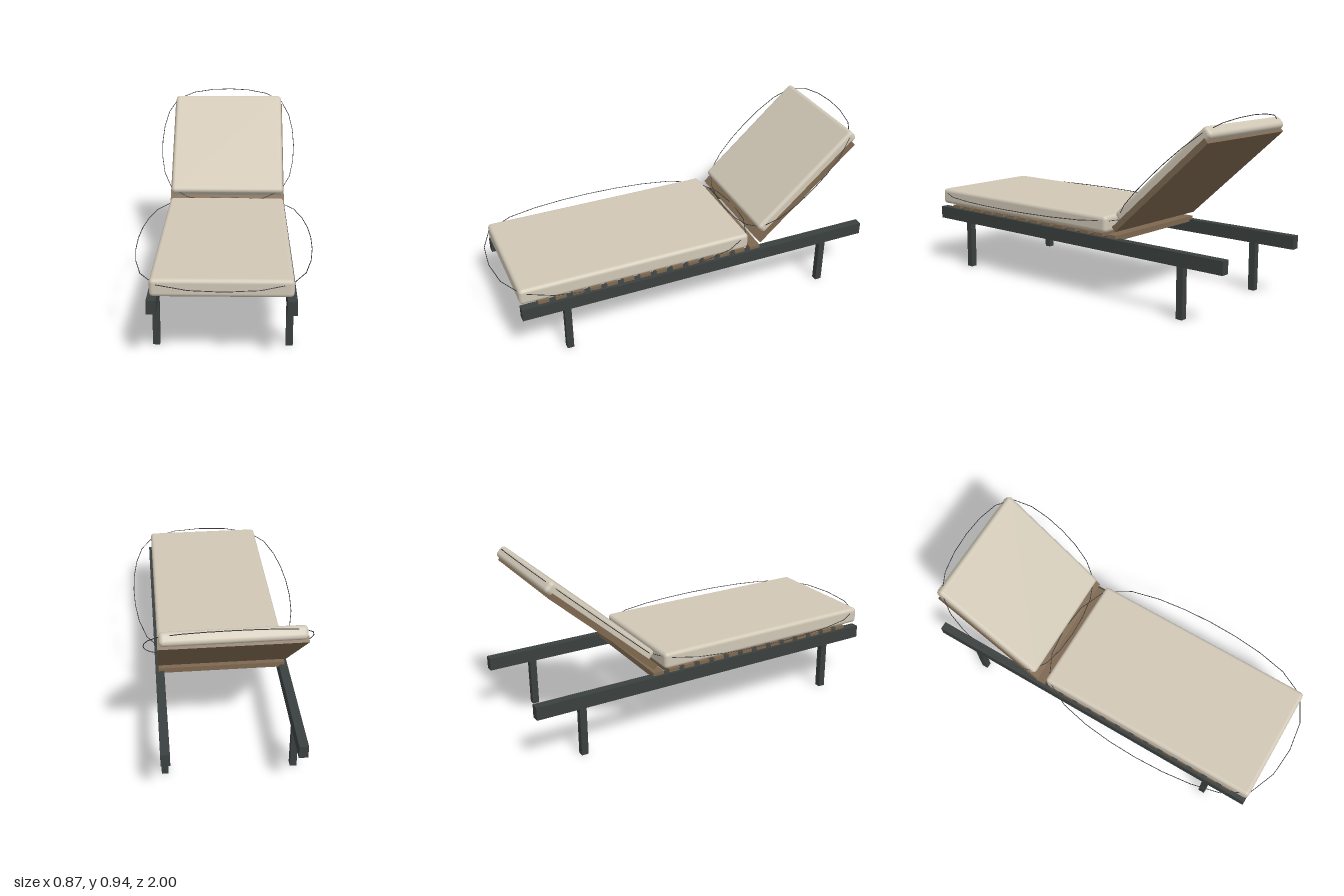
import * as THREE from 'three';
import { RoundedBoxGeometry } from 'three/addons/geometries/RoundedBoxGeometry.js';

const mat = (color) => new THREE.MeshStandardMaterial({ color });

export function createModel() {
  const model = new THREE.Group();
  const frame = mat(0x3a403f), wood = mat(0x7d6850), fabric = mat(0xd0c7b6), cord = mat(0x3c3a3c);

  const add = (parent, name, geometry, material, x, y, z) => {
    const mesh = new THREE.Mesh(geometry, material);
    mesh.name = name;
    mesh.position.set(x, y, z);
    parent.add(mesh);
    return mesh;
  };

  // Cord swinging through the four corners of a cushion
  const piping = (a, b) => {
    const corners = [[-a, -b], [a, -b], [a, b], [-a, b]].map(([x, z]) => new THREE.Vector3(x, 0, z));
    return new THREE.TubeGeometry(new THREE.CatmullRomCurve3(corners, true), 24, 0.002, 6, true);
  };

  // Side rails and legs
  for (const [side, s] of [['left', 1], ['right', -1]]) {
    add(model, side + 'Rail', new THREE.BoxGeometry(0.044, 0.066, 1.922), frame, s * 0.315, 0.285, -0.039);
    add(model, side + 'FrontLeg', new THREE.BoxGeometry(0.033, 0.254, 0.035), frame, s * 0.315, 0.127, 0.693);
    add(model, side + 'RearLeg', new THREE.BoxGeometry(0.033, 0.254, 0.035), frame, s * 0.315, 0.127, -0.765);
  }

  // Seat slats
  const slat = new THREE.BoxGeometry(0.644, 0.028, 0.057);
  for (let i = 0; i < 14; i++) add(model, 'slat', slat, wood, 0, 0.321, 0.807 - i * 0.0889);

  // Seat cushion
  add(model, 'seatCushion', new RoundedBoxGeometry(0.644, 0.085, 1.234, 3, 0.02), fabric, 0, 0.3775, 0.3075);
  add(model, 'seatPiping', piping(0.31, 0.6), cord, 0, 0.395, 0.3075);

  // Tilted backrest: panel, cushion and cord
  const back = new THREE.Group();
  back.name = 'backrest';
  back.position.set(0, 0.66, -0.634);
  back.rotation.x = THREE.MathUtils.degToRad(42);
  model.add(back);
  add(back, 'backPanel', new THREE.BoxGeometry(0.656, 0.03, 0.706), wood, 0, -0.04, 0.042);
  add(back, 'backCushion', new RoundedBoxGeometry(0.644, 0.062, 0.695, 3, 0.02), fabric, 0, -0.011, 0);
  add(back, 'backPiping', piping(0.31, 0.33), cord, 0, 0, 0);

  return model;
}
